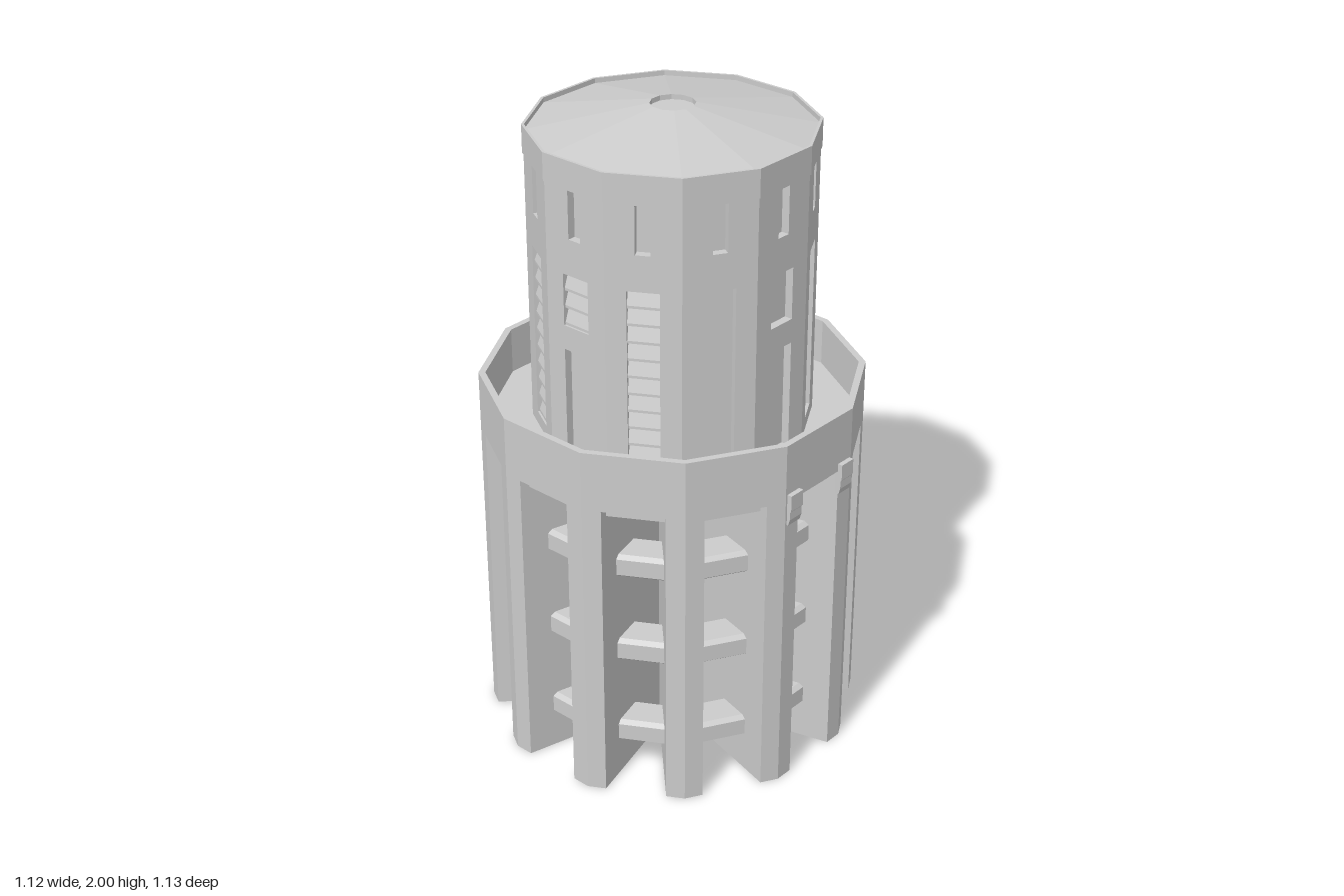
import * as THREE from 'three';

const material = new THREE.MeshStandardMaterial({ color: 0xcccccc, flatShading: true, side: THREE.DoubleSide });
const SIDES = 12, STEP = Math.PI / 6, TAN = Math.tan(STEP / 2), COS = Math.cos(STEP / 2);

function addMesh(parent, name, geometry) {
  const mesh = new THREE.Mesh(geometry, material);
  mesh.name = name;
  parent.add(mesh);
  return mesh;
}

// Regular polygon outline, flat side facing the front, sized by its apothem
function polygon(apothem) {
  return Array.from({ length: SIDES }, (_, i) => {
    const a = (i + 0.5) * STEP;
    return new THREE.Vector2(Math.cos(a), Math.sin(a)).multiplyScalar(apothem / COS);
  });
}

// Plan outline raised from y0 to y1
function raise(points, y0, y1, hole) {
  const shape = new THREE.Shape(points);
  if (hole) shape.holes.push(new THREE.Path(hole));
  return new THREE.ExtrudeGeometry(shape, { depth: y1 - y0, bevelEnabled: false })
    .rotateX(-Math.PI / 2).translate(0, y0, 0);
}

// Side profile of [z, y] pairs, extruded along x and centred
function sideProfile(pairs, width) {
  const shape = new THREE.Shape(pairs.map(([z, y]) => new THREE.Vector2(-z, y)));
  return new THREE.ExtrudeGeometry(shape, { depth: width, bevelEnabled: false })
    .translate(0, 0, -width / 2).rotateY(Math.PI / 2);
}

function rectangle(halfWidth, y0, y1) {
  return [[-halfWidth, y0], [halfWidth, y0], [halfWidth, y1], [-halfWidth, y1]]
    .map(([x, y]) => new THREE.Vector2(x, y));
}

// Radial fins joined around a hollow core
function buildFins(parent) {
  const half = 0.055, outer = 0.56 / COS, notch = half / Math.sin(STEP / 2);
  const points = [], hole = [];
  for (let i = 0; i < SIDES; i++) {
    const a = (i + 0.5) * STEP;
    const at = (r, t) => new THREE.Vector2(r * Math.cos(a) - t * Math.sin(a), r * Math.sin(a) + t * Math.cos(a));
    points.push(at(outer - half * TAN, -half), at(outer, 0), at(outer - half * TAN, half));
    points.push(new THREE.Vector2(Math.cos(a + STEP / 2), Math.sin(a + STEP / 2)).multiplyScalar(notch));
    hole.push(new THREE.Vector2(Math.cos(a), Math.sin(a)).multiplyScalar(0.18));
  }
  addMesh(parent, 'fins', raise(points, 0, 0.985, hole));
}

// Chamfered bars bridging the gaps between fins
function buildBars(parent) {
  const bar = sideProfile([[0.37, -0.037], [0.462, -0.037], [0.476, -0.026], [0.476, 0.026], [0.462, 0.037], [0.37, 0.037]], 0.142);
  for (let i = 0; i < SIDES; i++) {
    for (const y of [0.157, 0.453, 0.746]) {
      const mesh = addMesh(parent, 'crossBar', bar);
      mesh.position.y = y;
      mesh.rotation.y = i * STEP;
    }
  }
}

// One tower wall face with its slot and window openings
function buildFace(parent, index) {
  const face = new THREE.Group();
  face.name = 'towerFace';
  face.rotation.y = index * STEP;
  parent.add(face);

  const apothem = 0.408, depth = 0.026, halfWindow = 0.047;
  const split = index === 0 || index === 9;
  const plain = index === 0 || index === 1 || index === 11;
  const openings = split ? [[1.03, 1.365], [1.44, 1.6]] : [[1.06, 1.6]];

  const wall = new THREE.Shape(rectangle(apothem * TAN, 1.0, 1.87));
  wall.holes.push(new THREE.Path(rectangle(0.022, 1.71, 1.855)));
  for (const [y0, y1] of openings) wall.holes.push(new THREE.Path(rectangle(halfWindow, y0, y1)));
  addMesh(face, 'wall', new THREE.ExtrudeGeometry(wall, { depth, bevelEnabled: false }).translate(0, 0, apothem - depth));

  if (plain) return;
  // Sloping louvre slats in the window
  const [y0, y1] = openings[openings.length - 1];
  const count = Math.round((y1 - y0) / 0.053), pitch = (y1 - y0) / count;
  const slat = sideProfile([[0.375, 0], [0.402, 0], [0.402, 0.008], [0.386, pitch], [0.375, pitch]], halfWindow * 2);
  for (let i = 0; i < count; i++) addMesh(face, 'louvre', slat).position.y = y0 + i * pitch;
}

function buildRoof(parent) {
  addMesh(parent, 'capBand', raise(polygon(0.412), 1.86, 1.945, polygon(0.404)));
  addMesh(parent, 'capSlab', raise(polygon(0.405), 1.86, 1.925));
  const roof = new THREE.CylinderGeometry(0.066, 0.405 / COS, 0.07, SIDES, 1, true);
  addMesh(parent, 'roof', roof.rotateY(STEP / 2).translate(0, 1.965, 0));
  // Shallow round recess at the peak
  const well = new THREE.CylinderGeometry(0.066, 0.066, 0.015, SIDES, 1, true);
  addMesh(parent, 'peakWell', well.rotateY(STEP / 2).translate(0, 1.9925, 0));
  const floor = new THREE.CircleGeometry(0.066, SIDES).rotateX(-Math.PI / 2);
  addMesh(parent, 'peakFloor', floor.rotateY(STEP / 2).translate(0, 1.985, 0));
}

export function createModel() {
  const model = new THREE.Group();
  model.name = 'tower';
  const body = new THREE.Group();
  body.name = 'body';
  body.position.z = -0.0075;
  model.add(body);

  // Base
  buildFins(body);
  buildBars(body);

  // Gallery with its parapet
  addMesh(body, 'galleryLip', raise(polygon(0.53), 0.95, 0.985, polygon(0.17)));
  addMesh(body, 'galleryFloor', raise(polygon(0.545), 0.98, 1.02));
  addMesh(body, 'parapet', raise(polygon(0.56), 0.98, 1.165, polygon(0.54)));

  // Hooked brackets on the front
  const bracket = sideProfile([[0.54, 0.905], [0.565, 0.905], [0.571, 0.925], [0.571, 0.95], [0.575, 0.955], [0.575, 1.005], [0.54, 1.005]], 0.053);
  for (const side of [-1, 1]) addMesh(body, 'bracket', bracket).position.x = side * 0.117;

  // Upper tower
  addMesh(body, 'towerCore', raise(polygon(0.383), 1.0, 1.87));
  for (let i = 0; i < SIDES; i++) buildFace(body, i);
  buildRoof(body);
  return model;
}
